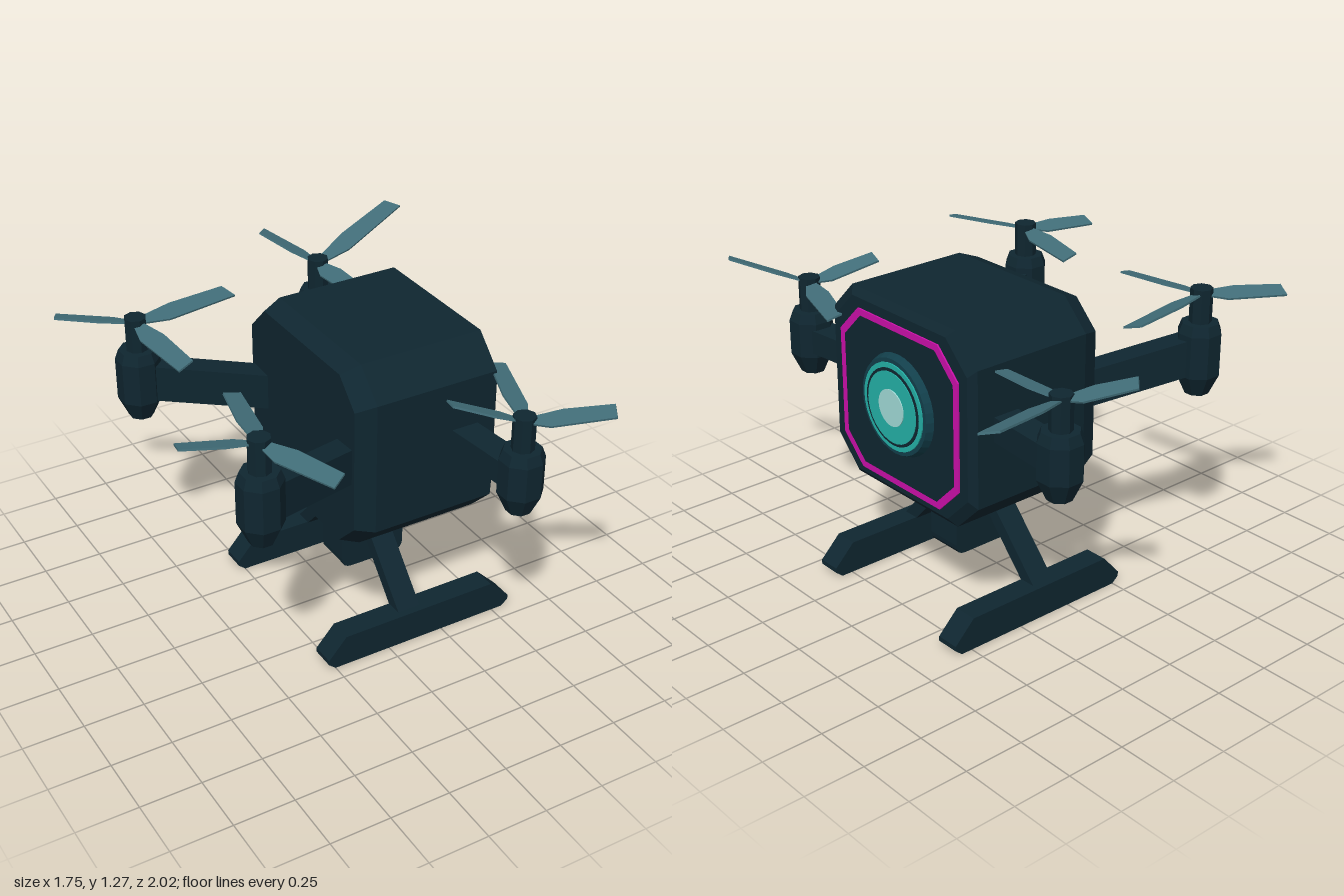
import * as THREE from 'three';

const mat = (name, color) => {
  const m = new THREE.MeshStandardMaterial({ color, flatShading: true });
  m.name = name;
  return m;
};

export function createModel() {
  const hull = mat('dark hull', 0x0f2630);
  const housing = mat('lens housing blue', 0x123f4b);
  const teal = mat('eye teal', 0x24b2a8);
  const pale = mat('pupil pale', 0xa2dcd8);
  const bladeMat = mat('blade grey blue', 0x416d78);
  const magenta = mat('trim magenta', 0xcc10aa);

  const model = new THREE.Group();
  model.name = 'drone';
  const V = (x, y, z) => new THREE.Vector3(x, y, z);
  const add = (name, geo, material, parent = model) => {
    const mesh = new THREE.Mesh(geo, material);
    mesh.name = name;
    parent.add(mesh);
    return mesh;
  };

  // Chamfered rectangle as [z, y] corners, counter-clockwise seen from +x
  const octagon = (hz, hy, c) => [
    [c - hz, hy], [hz - c, hy], [hz, hy - c], [hz, c - hy],
    [hz - c, -hy], [c - hz, -hy], [-hz, c - hy], [-hz, hy - c],
  ];

  // Closed solid through octagonal sections {x, hz, hy, c} placed along x
  const loft = (sections) => {
    const pos = [], idx = [], n = 8;
    sections.forEach((s) => octagon(s.hz, s.hy, s.c).forEach(([z, y]) => pos.push(s.x, y, z)));
    for (let i = 0; i < sections.length - 1; i++) {
      for (let j = 0; j < n; j++) {
        const a = i * n + j, b = i * n + (j + 1) % n;
        idx.push(a, b, b + n, a, b + n, a + n);
      }
    }
    const last = (sections.length - 1) * n;
    for (let j = 1; j < n - 1; j++) {
      idx.push(0, j + 1, j, last, last + j, last + j + 1);
    }
    const g = new THREE.BufferGeometry();
    g.setAttribute('position', new THREE.Float32BufferAttribute(pos, 3));
    g.setIndex(idx);
    const flat = g.toNonIndexed();
    flat.computeVertexNormals();
    return flat;
  };

  // Body with bevelled front and back
  add('body', loft([
    { x: -0.15, hz: 0.40, hy: 0.37, c: 0.11 },
    { x: -0.07, hz: 0.43, hy: 0.40, c: 0.12 },
    { x: 0.46, hz: 0.43, hy: 0.40, c: 0.12 },
    { x: 0.485, hz: 0.40, hy: 0.37, c: 0.12 },
  ]), hull).position.y = 0.87;

  // Glowing trim around the face
  const trim = new THREE.Shape(octagon(0.355, 0.337, 0.115).map(([x, y]) => new THREE.Vector2(x, y)));
  trim.holes.push(new THREE.Path(octagon(0.328, 0.31, 0.104).map(([x, y]) => new THREE.Vector2(x, y))));
  const trimGeo = new THREE.ExtrudeGeometry(trim, { depth: 0.009, bevelEnabled: false });
  add('faceTrim', trimGeo.rotateY(Math.PI / 2), magenta).position.set(0.483, 0.863, 0);

  // Eye: stacked discs facing +x
  const eye = new THREE.Group();
  eye.name = 'eye';
  eye.position.set(0, 0.875, 0);
  model.add(eye);
  const disc = (name, r0, r1, x0, x1, material) => {
    const g = new THREE.CylinderGeometry(r1, r0, x1 - x0, 32).rotateZ(-Math.PI / 2);
    add(name, g, material, eye).position.x = (x0 + x1) / 2;
  };
  disc('lensHousing', 0.215, 0.195, 0.47, 0.513, housing);
  disc('outerEyeRing', 0.178, 0.178, 0.512, 0.518, teal);
  disc('eyeGap', 0.158, 0.158, 0.515, 0.521, hull);
  disc('iris', 0.146, 0.146, 0.518, 0.524, teal);
  disc('pupil', 0.075, 0.075, 0.522, 0.528, pale);

  // Camera block with rounded lower corners
  const block = new THREE.Shape();
  block.moveTo(-0.01, 0.5);
  block.lineTo(-0.01, 0.22);
  block.quadraticCurveTo(-0.01, 0.175, 0.035, 0.175);
  block.lineTo(0.235, 0.175);
  block.quadraticCurveTo(0.28, 0.175, 0.28, 0.22);
  block.lineTo(0.28, 0.5);
  add('cameraBlock', new THREE.ExtrudeGeometry(block, { depth: 0.16, bevelEnabled: false, curveSegments: 4 }), hull)
    .position.z = -0.08;

  // Straight bar between two points
  const bar = (name, a, b, w, h) => {
    const mesh = add(name, new THREE.BoxGeometry(w, h, a.distanceTo(b)), hull);
    mesh.position.copy(a).lerp(b, 0.5);
    mesh.lookAt(b);
  };

  // Skid outline seen from the side
  const skid = new THREE.Shape([
    [-0.25, 0], [0.55, 0], [0.58, 0.025], [0.58, 0.045], [0.49, 0.135],
    [-0.2, 0.135], [-0.28, 0.045], [-0.28, 0.025],
  ].map(([x, y]) => new THREE.Vector2(x, y)));
  const skidGeo = new THREE.ExtrudeGeometry(skid, { depth: 0.1, bevelEnabled: false });

  // Propeller blade lying along +x
  const blade = (length) => {
    const s = new THREE.Shape([
      [0.02, -0.018], [0.3 * length, -0.045], [length, -0.032], [length * 0.96, 0.04],
      [0.4 * length, 0.042], [0.02, 0.018],
    ].map(([x, y]) => new THREE.Vector2(x, y)));
    return new THREE.ExtrudeGeometry(s, { depth: 0.008, bevelEnabled: false }).translate(0, 0, -0.004);
  };

  // Motor pod with post and three blades; tips are absolute points
  const rotor = (name, x, z, base, height, tips) => {
    const g = new THREE.Group();
    g.name = name;
    g.position.set(x, base, z);
    model.add(g);
    const profile = [[0, 0], [0.05, 0], [0.09, 0.085], [0.09, height - 0.04], [0.075, height], [0, height]]
      .map(([r, y]) => new THREE.Vector2(r, y));
    add('motorPod', new THREE.LatheGeometry(profile, 8, Math.PI / 8), hull, g);
    const postTop = height + 0.14;
    add('rotorPost', new THREE.CylinderGeometry(0.045, 0.045, 0.16, 8), hull, g).position.y = postTop - 0.08;
    const hub = V(0, postTop - 0.025, 0);
    tips.forEach((tip) => {
      const dir = V(...tip).sub(g.position).sub(hub);
      const length = dir.length();
      dir.normalize();
      const side = V(0, 1, 0).cross(dir).normalize();
      const up = dir.clone().cross(side);
      const mesh = add('propellerBlade', blade(length), bladeMat, g);
      mesh.position.copy(hub);
      mesh.quaternion.setFromRotationMatrix(new THREE.Matrix4().makeBasis(dir, side, up));
      mesh.rotateX(0.25);
    });
  };

  // Parts mirrored on both sides
  [1, -1].forEach((s) => {
    add('skid', skidGeo, hull).position.z = s * 0.385 - 0.05;
    add('legMount', new THREE.BoxGeometry(0.14, 0.14, 0.06), hull).position.set(0.11, 0.415, s * 0.095);
    bar('legStrut', V(0.11, 0.43, s * 0.1), V(0.11, 0.1, s * 0.4), 0.1, 0.055);
    bar('rearArm', V(-0.58, 0.96, s * 0.505), V(-0.08, 0.87, s * 0.3), 0.1, 0.15);
    bar('frontArm', V(0.355, 0.895, s * 0.74), V(0.32, 0.895, s * 0.38), 0.115, 0.1);
  });

  // Four rotors
  rotor('rearLeftRotor', -0.6, 0.505, 0.79, 0.30,
    [[-0.87, 1.21, 0.39], [-0.51, 1.19, 0.13], [-0.48, 1.2, 0.86]]);
  rotor('rearRightRotor', -0.6, -0.52, 0.79, 0.30,
    [[-0.86, 1.21, -0.72], [-0.15, 1.2, -0.58], [-0.575, 1.19, -0.12]]);
  rotor('frontLeftRotor', 0.36, 0.75, 0.74, 0.27,
    [[0.11, 1.21, 0.62], [0.52, 1.13, 0.35], [0.59, 1.22, 0.99]]);
  rotor('frontRightRotor', 0.36, -0.76, 0.74, 0.27,
    [[0.21, 1.22, -0.99], [0.86, 1.22, -0.945], [0.36, 1.13, -0.44]]);

  return model;
}
